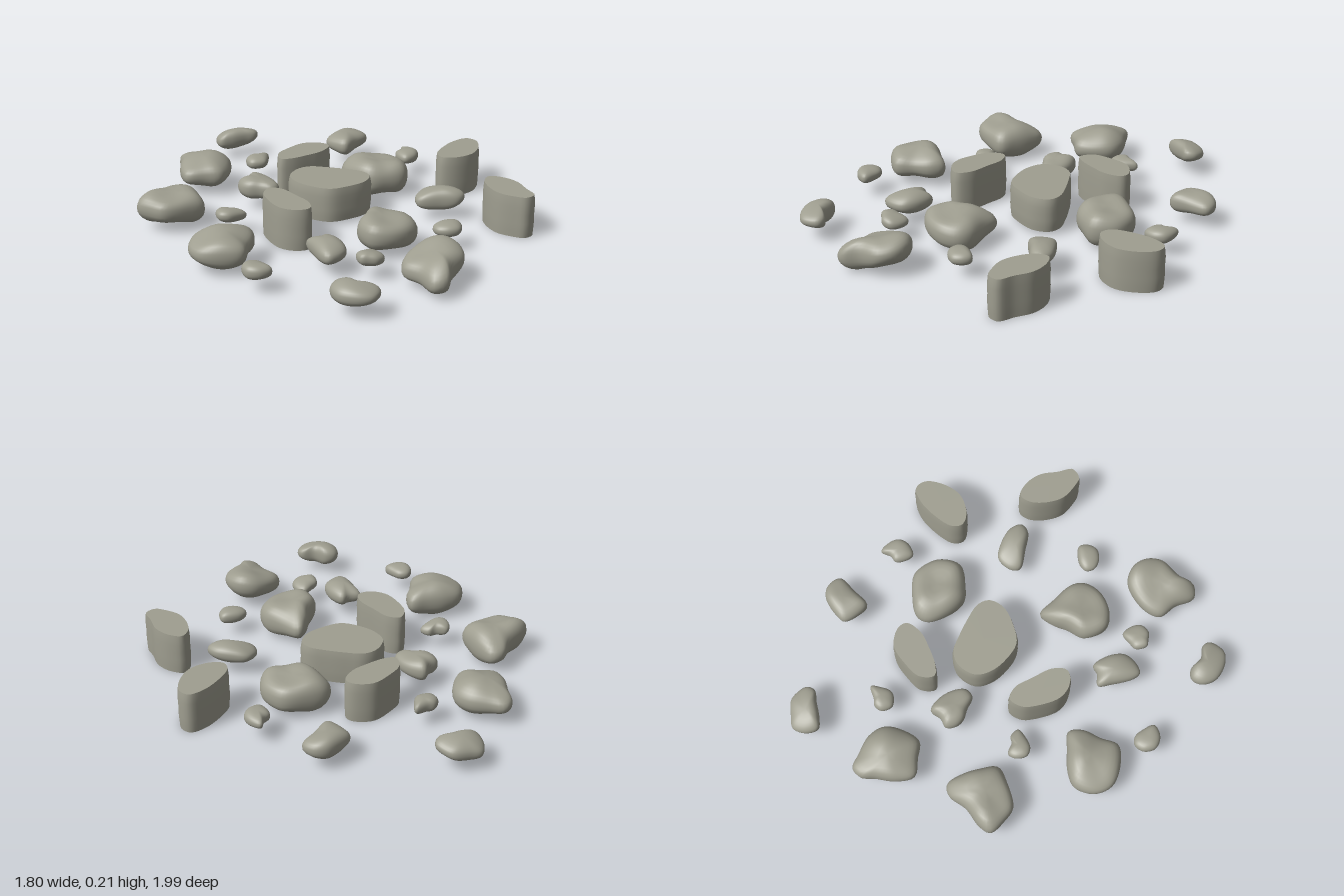
import * as THREE from 'three';

const SEGMENTS = 48;

// Profiles from bottom to top: [outline scale, height from -1 to 1]
const pillow = [];
for (let i = 0; i <= 16; i++) {
  const a = -Math.PI / 2 + (Math.PI * i) / 16;
  const s = Math.sin(a);
  pillow.push([Math.pow(Math.max(0, Math.cos(a)), 0.75), Math.sign(s) * Math.pow(Math.abs(s), 0.85)]);
}
// Doubled rings keep the rims of the flat faces sharp
const slab = [[0, -1], [0.97, -1], [0.97, -1], [0.985, -0.7], [1, -0.3], [0.99, 0.1], [1, 0.5], [0.975, 0.85], [0.96, 1], [0.96, 1], [0, 1]];

// Lofts a stone from its plan outline (in hundredths) and a vertical profile
function stoneGeometry(outline, profile, y0, y1, bump, tiltX, tiltZ) {
  const points = [];
  for (let i = 0; i < outline.length; i += 2) {
    points.push(new THREE.Vector3(outline[i] / 100, 0, outline[i + 1] / 100));
  }
  const ring = new THREE.CatmullRomCurve3(points, true).getSpacedPoints(SEGMENTS).slice(0, SEGMENTS);
  const box = new THREE.Box3().setFromPoints(ring);
  const c = box.getCenter(new THREE.Vector3());
  const half = (y1 - y0) / 2;
  const pos = [];
  const index = [];

  const addVertex = (p, scale, h) => {
    const dx = (p.x - c.x) * scale;
    const dz = (p.z - c.z) * scale;
    const lump = bump * Math.sin(17 * dx + 9 * c.z + 1) * Math.cos(19 * dz + 7 * c.x);
    pos.push(c.x + dx, h * half * (1 + lump) + tiltX * dx + tiltZ * dz, c.z + dz);
  };
  const last = profile.length - 1;
  addVertex(c, 0, profile[0][1]);
  for (let r = 1; r < last; r++) ring.forEach((p) => addVertex(p, profile[r][0], profile[r][1]));
  addVertex(c, 0, profile[last][1]);

  // Fit the tilted, lumpy body to its height range
  let lo = Infinity;
  let hi = -Infinity;
  for (let i = 1; i < pos.length; i += 3) {
    lo = Math.min(lo, pos[i]);
    hi = Math.max(hi, pos[i]);
  }
  for (let i = 1; i < pos.length; i += 3) pos[i] = y0 + ((pos[i] - lo) / (hi - lo)) * (y1 - y0);

  // The outline runs clockwise as seen from above
  const top = 1 + (last - 1) * SEGMENTS;
  const topRing = top - SEGMENTS;
  for (let i = 0; i < SEGMENTS; i++) {
    const j = (i + 1) % SEGMENTS;
    index.push(0, 1 + i, 1 + j);
    for (let r = 0; r < last - 2; r++) {
      const a = 1 + r * SEGMENTS + i;
      const b = 1 + r * SEGMENTS + j;
      index.push(a, a + SEGMENTS, b, b, a + SEGMENTS, b + SEGMENTS);
    }
    index.push(top, topRing + j, topRing + i);
  }
  const geometry = new THREE.BufferGeometry();
  geometry.setAttribute('position', new THREE.Float32BufferAttribute(pos, 3));
  geometry.setIndex(index);
  geometry.computeVertexNormals();
  return geometry;
}

export function createModel() {
  const model = new THREE.Group();
  model.name = 'stoneField';
  const stone = new THREE.MeshStandardMaterial({ color: 0x9f9e90 });
  stone.name = 'stone grey';

  const add = (name, geometry) => {
    const mesh = new THREE.Mesh(geometry, stone);
    mesh.name = name;
    model.add(mesh);
  };
  const cut = (name, outline, y0 = 0, y1 = 0.21) => add(name, stoneGeometry(outline, slab, y0, y1, 0, 0, 0));
  const boulder = (name, outline, tx = 0, tz = 0) => add(name, stoneGeometry(outline, pillow, 0.012, 0.19, 0.22, tx, tz));
  const rock = (name, outline, tx = 0, tz = 0) => add(name, stoneGeometry(outline, pillow, 0.05, 0.16, 0.2, tx, tz));
  const pebble = (name, outline, tx = 0, tz = 0) => add(name, stoneGeometry(outline, pillow, 0.068, 0.14, 0.15, tx, tz));

  // Flat-topped cut stones
  cut('centreCutStone', [-11, -10, -7, -18, 3, -21, 10, -18, 14, -11, 18, -2, 21, 8, 19, 14, 11, 17, 0, 14, -8, 9, -11, 0], 0.02, 0.195);
  cut('backCutStone', [5, -33, 10, -39, 19, -40, 31, -38, 37, -30, 36, -25, 27, -23, 19, -25, 9, -29]);
  cut('rightCutStone', [-43, 5, -38, -7, -34, -12, -27, -14, -24, -8, -26, 2, -29, 13, -34, 18, -38, 17, -42, 12]);
  cut('leftCutStone', [57, 30, 60, 25, 71, 22, 82, 22, 89, 25, 89, 31, 82, 37, 71, 40, 61, 36]);
  cut('frontCutStone', [35, 78, 39, 69, 45, 63, 51, 62, 54, 69, 53, 78, 48, 86, 44, 93, 38, 92, 36, 87]);

  // Large rounded boulders
  boulder('backBoulder', [-24, -71, -20, -79, -12, -86, -7, -91, -1, -91, 2, -85, 6, -75, 5, -67, 0, -62, -12, -58, -18, -64]);
  boulder('backRightBoulder', [-69, -62, -63, -64, -52, -63, -42, -65, -37, -62, -38, -54, -42, -45, -47, -38, -56, -40, -67, -46, -69, -53], -0.08, 0);
  boulder('rightBoulder', [-90, -3, -87, -12, -78, -17, -70, -14, -62, -7, -56, -1, -60, 5, -69, 9, -77, 13, -85, 7]);
  boulder('leftBoulder', [29, -5, 33, -15, 39, -17, 48, -12, 56, -4, 56, 6, 53, 12, 44, 17, 35, 12, 29, 6]);
  boulder('middleFrontBoulder', [-29, 49, -25, 38, -16, 35, -8, 31, -1, 30, 0, 40, 0, 52, -4, 58, -13, 60, -24, 56], -0.1, 0);
  boulder('frontBoulder', [-45, 95, -42, 85, -41, 75, -33, 71, -19, 73, -14, 80, -15, 89, -21, 95, -32, 96, -40, 99], 0.25, 0);

  // Medium rocks
  rock('backLeftRock', [25, -91, 28, -97, 34, -100, 39, -97, 45, -92, 46, -88, 45, -82, 41, -80, 36, -83, 29, -87], 0, 0.2);
  rock('backMiddleRock', [-18, -40, -15, -44, -10, -43, -4, -44, -2, -38, -3, -30, -7, -24, -12, -24, -15, -30, -18, -35]);
  rock('farLeftRock', [58, -38, 60, -46, 65, -47, 76, -45, 80, -40, 79, -33, 69, -32, 59, -32]);
  rock('innerRightRock', [-57, 42, -52, 32, -48, 26, -43, 30, -39, 31, -40, 40, -45, 47, -52, 48, -57, 46]);
  rock('innerLeftRock', [24, 39, 27, 35, 35, 34, 40, 40, 43, 49, 41, 55, 36, 55, 30, 48], 0.15, 0);
  rock('frontRightRock', [-84, 72, -81, 65, -76, 63, -72, 66, -71, 74, -67, 79, -68, 83, -76, 85, -81, 81]);

  // Small pebbles
  pebble('backPebble', [10, -57, 12, -62, 16, -63, 19, -61, 25, -58, 22, -55, 16, -52, 12, -54]);
  pebble('backRightPebble', [-52, -24, -49, -29, -45, -30, -42, -25, -39, -23, -39, -18, -44, -18, -50, -20], -0.15, 0);
  pebble('leftPebble', [65, -1, 68, -6, 72, -6, 77, -8, 78, -2, 76, 3, 71, 5, 65, 3]);
  pebble('rightPebble', [-90, 25, -87, 20, -82, 19, -79, 22, -79, 27, -81, 33, -86, 32, -89, 29]);
  pebble('frontRightPebble', [-49, 58, -46, 53, -42, 53, -36, 54, -36, 60, -39, 64, -44, 64, -47, 61], -0.15, 0);
  pebble('frontPebble', [-1, 67, 1, 63, 6, 63, 13, 69, 11, 73, 6, 75, 1, 72]);

  return model;
}
